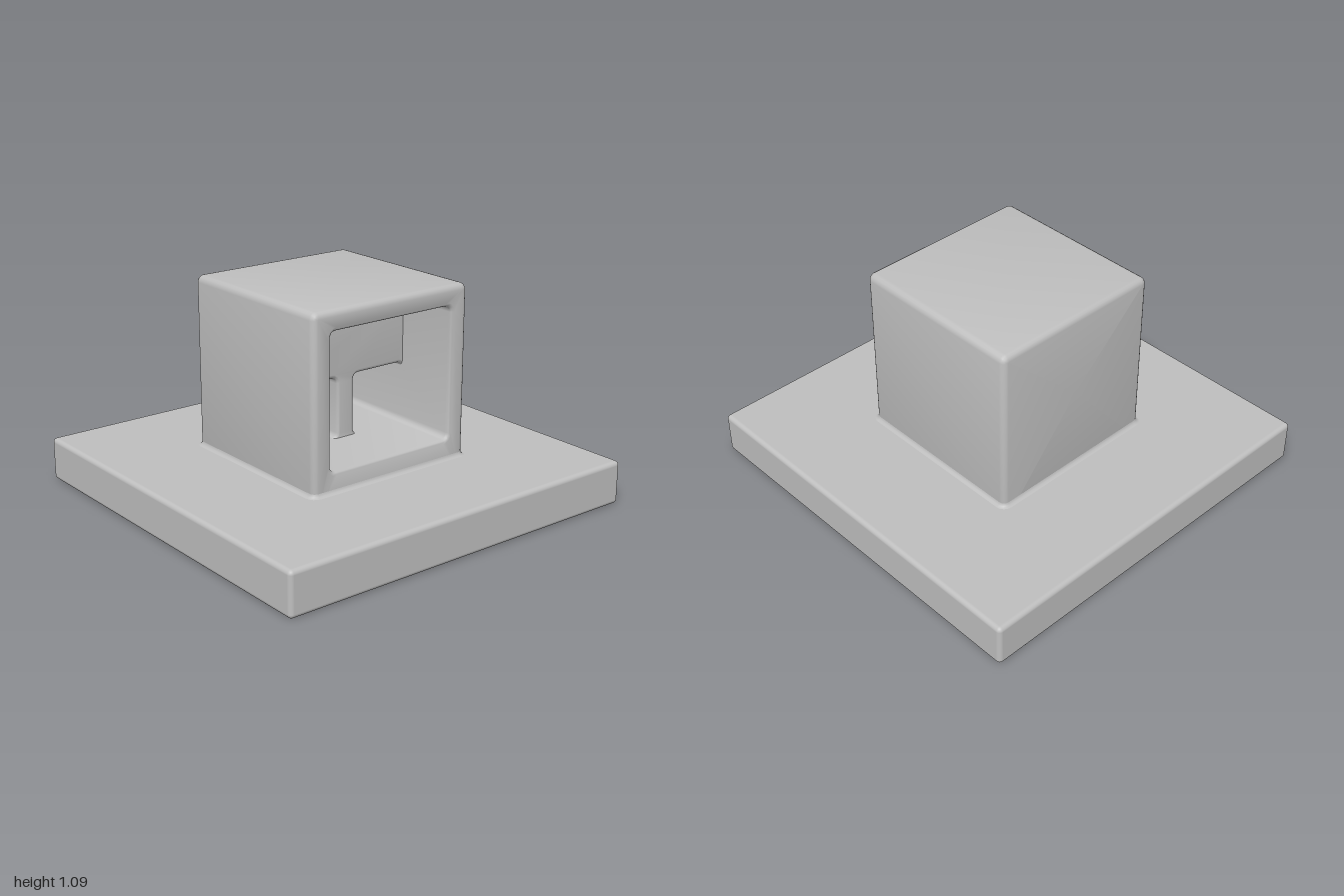
import * as THREE from 'three';
import { toCreasedNormals } from 'three/addons/utils/BufferGeometryUtils.js';
import { RoundedBoxGeometry } from 'three/addons/geometries/RoundedBoxGeometry.js';

const CORNER_STEPS = 4;

// Rounded rectangle as a counter-clockwise loop of [x, y] points.
function roundedLoop(x0, x1, y0, y1, r) {
  const corners = [[x1 - r, y0 + r, -0.5], [x1 - r, y1 - r, 0], [x0 + r, y1 - r, 0.5], [x0 + r, y0 + r, 1]];
  const points = [];
  for (const [cx, cy, start] of corners) {
    for (let i = 0; i <= CORNER_STEPS; i++) {
      const a = (start + 0.5 * i / CORNER_STEPS) * Math.PI;
      points.push([cx + r * Math.cos(a), cy + r * Math.sin(a)]);
    }
  }
  return points;
}

// Skin joining equal-length loops, each { z, loop }, in order along z.
function loft(rings) {
  const n = rings[0].loop.length;
  const positions = [];
  const index = [];
  for (const { z, loop } of rings) for (const [x, y] of loop) positions.push(x, y, z);
  for (let i = 0; i < rings.length - 1; i++) {
    for (let j = 0; j < n; j++) {
      const k = (j + 1) % n;
      const a = i * n + j, b = i * n + k, c = b + n, d = a + n;
      index.push(a, b, c, a, c, d);
    }
  }
  const geometry = new THREE.BufferGeometry();
  geometry.setAttribute('position', new THREE.Float32BufferAttribute(positions, 3));
  geometry.setIndex(index);
  return toCreasedNormals(geometry, 0.6);
}

function toShape(loop, Type) {
  return new Type(loop.map(([x, y]) => new THREE.Vector2(x, y)));
}

// Hollow cube: one continuous skin, closed at the back and open towards +x.
function housingGeometry() {
  const R = 0.03;
  const outer = (inset) => roundedLoop(-0.462 + inset, 0.462 - inset, 0.12 + inset, 1.088 - inset, 0.035 - inset);
  const inner = (grow) => roundedLoop(-0.36 - grow, 0.36 + grow, 0.322 - grow, 0.988 + grow, 0.03 + grow);
  const centre = roundedLoop(0, 0, 0.655, 0.655, 0);
  const rings = [{ z: -0.462, loop: centre }];
  const arc = [0, 1, 2, 3, 4].map((i) => i * Math.PI / 8);
  for (const a of arc) rings.push({ z: -0.462 + R * (1 - Math.sin(a)), loop: outer(R * (1 - Math.cos(a))) });
  rings.reverse();
  rings.splice(0, rings.length, { z: -0.462, loop: centre });
  for (const a of arc) rings.push({ z: -0.462 + R * (1 - Math.cos(a)), loop: outer(R * (1 - Math.sin(a))) });
  for (const a of arc) rings.push({ z: 0.462 - R * (1 - Math.sin(Math.PI / 2 - a)), loop: outer(R * (1 - Math.cos(Math.PI / 2 - a))) });
  const front = rings.slice(-5).sort((p, q) => p.z - q.z);
  rings.splice(-5, 5, ...front);
  const r = 0.02;
  for (const a of arc) rings.push({ z: 0.462 - r * (1 - Math.cos(a)), loop: inner(r * (1 - Math.sin(a))) });
  rings.push({ z: -0.36, loop: inner(0) }, { z: -0.36, loop: centre });
  return loft(rings).rotateY(Math.PI / 2);
}

// Small concave fillet where the cube meets the slab.
function filletGeometry() {
  const rings = [];
  for (let i = 0; i <= 4; i++) {
    const a = i * Math.PI / 8;
    const s = 0.461 + 0.025 * (1 - Math.sin(a));
    rings.push({ z: 0.219 + 0.025 * (1 - Math.cos(a)), loop: roundedLoop(-s, s, -s, s, s - 0.432) });
  }
  return loft(rings).rotateX(-Math.PI / 2);
}

// Inner block with two square niches, its rim sunk into the housing walls.
function partitionGeometry() {
  const shape = toShape(roundedLoop(-0.4, 0.4, 0.28, 1.03, 0.02), THREE.Shape);
  for (const [x0, x1] of [[-0.363, -0.052], [0.052, 0.363]]) {
    shape.holes.push(toShape(roundedLoop(x0, x1, 0.319, 0.63, 0.03), THREE.Path));
  }
  const bevel = 0.018;
  const geometry = new THREE.ExtrudeGeometry(shape, {
    depth: 0.53 - 2 * bevel, bevelEnabled: true, bevelSize: bevel,
    bevelThickness: bevel, bevelOffset: -bevel, bevelSegments: 4,
  });
  geometry.translate(0, 0, -0.41 + bevel).rotateY(Math.PI / 2);
  return toCreasedNormals(geometry, 0.6);
}

export function createModel() {
  const group = new THREE.Group();
  group.name = 'nicheBoxOnSlab';
  const grey = new THREE.MeshStandardMaterial({ color: 0xbfbfbf });
  grey.name = 'light grey';

  const add = (name, geometry) => {
    const mesh = new THREE.Mesh(geometry, grey);
    mesh.name = name;
    group.add(mesh);
    return mesh;
  };

  add('baseSlab', new RoundedBoxGeometry(2, 0.22, 2, 4, 0.022)).position.y = 0.11;
  add('housing', housingGeometry());
  add('housingFillet', filletGeometry());
  add('nichePartition', partitionGeometry());
  return group;
}
